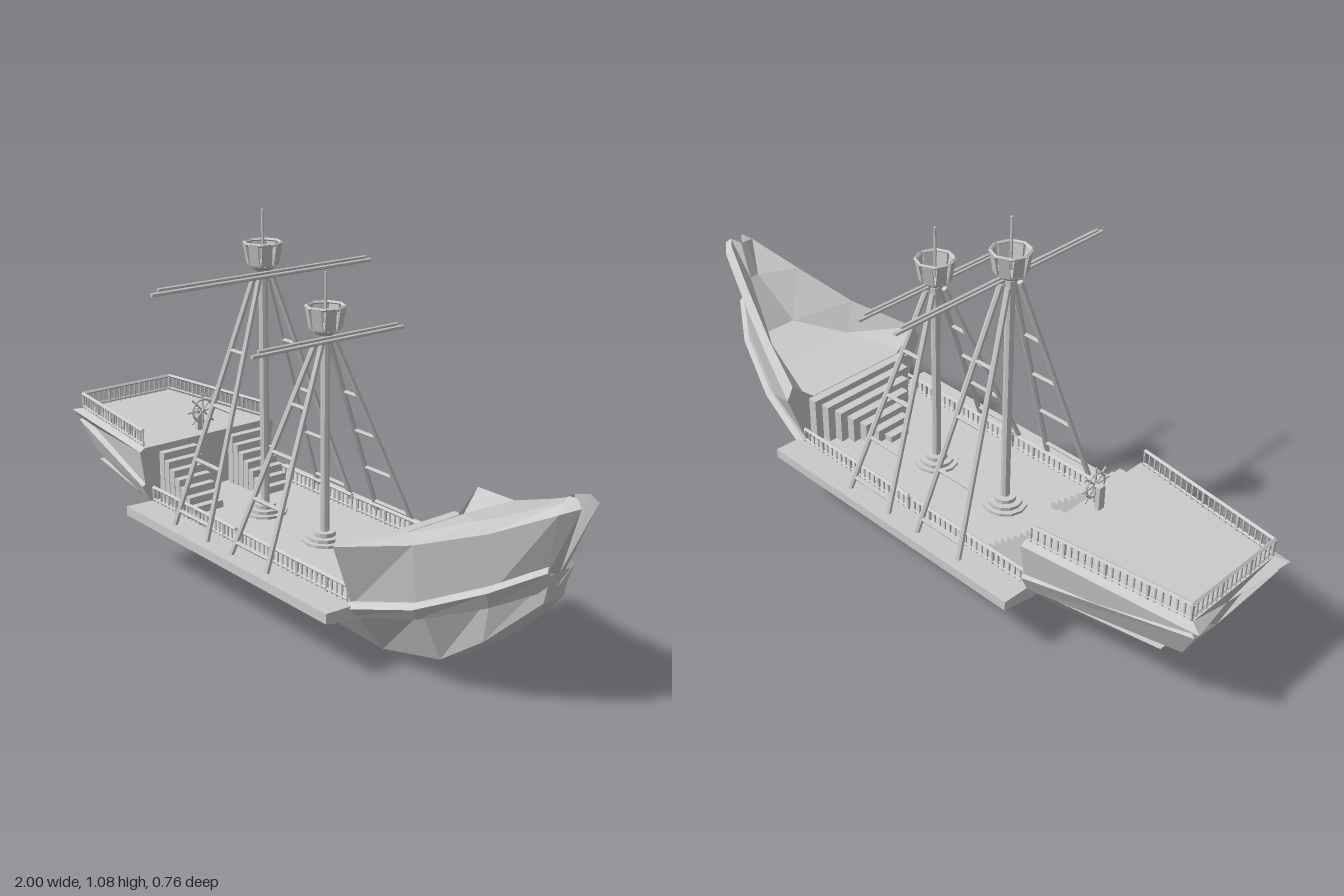
import * as THREE from 'three';

const mat = new THREE.MeshStandardMaterial({ color: 0xcccccc, flatShading: true, side: THREE.DoubleSide });

function add(parent, name, geo, x = 0, y = 0, z = 0) {
  const m = new THREE.Mesh(geo, mat);
  m.name = name;
  m.position.set(x, y, z);
  parent.add(m);
  return m;
}

function group(parent, name, x = 0, y = 0, z = 0) {
  const g = new THREE.Group();
  g.name = name;
  g.position.set(x, y, z);
  parent.add(g);
  return g;
}

// Skin over mirrored half sections, each listed from the keel outward and up
function loft(parent, name, halves) {
  const rings = halves.map(h => [...h, ...h.filter(p => p[2] > 0).reverse().map(p => [p[0], p[1], -p[2]])]);
  const n = rings[0].length, idx = [];
  for (let i = 0; i < rings.length - 1; i++)
    for (let j = 0; j < n; j++) {
      const a = i * n + j, b = i * n + (j + 1) % n, c = b + n, d = a + n;
      idx.push(a, c, b, a, d, c);
    }
  const end = (rings.length - 1) * n;
  for (let k = 1; k < n - 1; k++) idx.push(0, k, k + 1, end, end + k + 1, end + k);
  const geo = new THREE.BufferGeometry();
  geo.setAttribute('position', new THREE.Float32BufferAttribute(rings.flat(2), 3));
  geo.setIndex(idx);
  geo.computeVertexNormals();
  return add(parent, name, geo);
}

// Round bar between two points
function bar(parent, name, p, q, r, sides = 6) {
  const a = new THREE.Vector3(...p), b = new THREE.Vector3(...q);
  const d = b.clone().sub(a);
  const m = add(parent, name, new THREE.CylinderGeometry(r, r, d.length(), sides));
  m.position.copy(a).add(b).multiplyScalar(0.5);
  m.quaternion.setFromUnitVectors(new THREE.Vector3(0, 1, 0), d.normalize());
  return m;
}

// Railing with two rails and turned balusters
function railing(parent, p, q, h) {
  const g = group(parent, 'railing');
  const up = (v, t) => [v[0], v[1] + t, v[2]];
  bar(g, 'topRail', up(p, h), up(q, h), 0.006, 4);
  bar(g, 'lowerRail', up(p, 0.008), up(q, 0.008), 0.004, 4);
  const n = Math.round(Math.hypot(q[0] - p[0], q[2] - p[2]) / 0.02);
  for (let i = 0; i <= n; i++) {
    const v = p.map((c, k) => c + (q[k] - c) * i / n);
    const wide = i % 6 === 0 ? 0.006 : 0.0035;
    add(g, 'baluster', new THREE.CylinderGeometry(wide, wide * 0.7, h, 5), v[0], v[1] + h / 2, v[2]);
  }
}

// Mast with collar, shrouds, ratlines, yard and lookout basket
function mast(parent, name, x, top, yardHalf) {
  const g = group(parent, name, x, 0, 0);
  const deck = 0.19;
  bar(g, 'pole', [0, deck, 0], [0, top, 0], 0.013, 8);
  [[0.065, 0.008], [0.05, 0.018], [0.032, 0.03]].forEach(([r, h]) =>
    add(g, 'collar', new THREE.CylinderGeometry(r, r, h, 12), 0, deck + h / 2, 0));

  for (const s of [-1, 1]) {
    const foot = k => [k * 0.08, deck, s * 0.265], head = k => [k * 0.013, top - 0.01, s * 0.022];
    const at = (k, t) => foot(k).map((c, i) => c + (head(k)[i] - c) * t);
    for (const k of [-1, 1]) bar(g, 'shroud', foot(k), head(k), 0.0085);
    for (const t of [0.06, 0.27, 0.49, 0.71]) bar(g, 'ratline', at(-1, t), at(1, t), 0.006);
  }

  bar(g, 'yard', [0.02, top - 0.008, -yardHalf], [0.02, top - 0.008, yardHalf], 0.006);
  bar(g, 'upperYard', [0.02, top + 0.003, -yardHalf + 0.02], [0.02, top + 0.003, yardHalf - 0.02], 0.005);

  const nest = group(g, 'lookout', 0, top + 0.01, 0);
  add(nest, 'bracket', new THREE.CylinderGeometry(0.04, 0.02, 0.015, 8), 0, 0.003, 0);
  add(nest, 'floor', new THREE.CylinderGeometry(0.044, 0.04, 0.008, 8), 0, 0.015, 0);
  const rim = add(nest, 'rim', new THREE.TorusGeometry(0.053, 0.005, 4, 8), 0, 0.074, 0);
  rim.rotation.x = Math.PI / 2;
  for (let i = 0; i < 8; i++) {
    const spoke = group(nest, 'side');
    spoke.rotation.y = (i + 0.5) * Math.PI / 4;
    add(spoke, 'panel', new THREE.BoxGeometry(0.005, 0.062, 0.03), 0.046, 0.046, 0).rotation.z = -0.17;
  }
  bar(nest, 'finial', [0, 0, 0], [0, 0.168, 0], 0.004);
}

export function createModel() {
  const ship = new THREE.Group();
  ship.name = 'sailingShip';

  // Lower hull: keel, chine, top edge, centre line
  loft(ship, 'hull', [
    [[-0.82, 0.1, 0], [-0.83, 0.115, 0.08], [-0.88, 0.205, 0.16], [-0.88, 0.205, 0]],
    [[-0.49, 0.03, 0], [-0.49, 0.055, 0.1], [-0.49, 0.185, 0.21], [-0.49, 0.19, 0]],
    [[0.43, 0.005, 0], [0.43, 0.03, 0.1], [0.43, 0.18, 0.21], [0.43, 0.19, 0]],
    [[0.62, 0.058, 0], [0.64, 0.085, 0.1], [0.64, 0.235, 0.165], [0.64, 0.24, 0]],
    [[0.76, 0.158, 0], [0.77, 0.18, 0.088], [0.8, 0.315, 0.1], [0.8, 0.32, 0]],
    [[0.905, 0.31, 0], [0.905, 0.315, 0.035], [0.92, 0.39, 0.033], [0.92, 0.395, 0]],
  ]);

  // Bow wale
  const wale = (x, y, z, t) => [[x, y, 0], [x, y, z - 0.008], [x + 0.008, y + t, z + 0.012], [x, y + t + 0.012, z], [x, y + t + 0.012, 0]];
  loft(ship, 'bowWale', [
    wale(0.42, 0.15, 0.215, 0.03), wale(0.62, 0.205, 0.175, 0.035),
    wale(0.8, 0.285, 0.112, 0.045), wale(0.915, 0.35, 0.035, 0.05),
  ]);

  // Forecastle: bottom, flared side, rim ridge, inner deck
  loft(ship, 'forecastle', [
    [[0.42, 0.18, 0], [0.42, 0.18, 0.2], [0.42, 0.355, 0.262], [0.42, 0.395, 0.24], [0.42, 0.33, 0.19], [0.42, 0.33, 0]],
    [[0.62, 0.23, 0], [0.62, 0.24, 0.165], [0.62, 0.405, 0.185], [0.62, 0.435, 0.165], [0.62, 0.33, 0.14], [0.62, 0.33, 0]],
    [[0.8, 0.3, 0], [0.8, 0.32, 0.1], [0.8, 0.475, 0.118], [0.8, 0.51, 0.098], [0.78, 0.345, 0.05], [0.78, 0.345, 0]],
    [[0.91, 0.38, 0], [0.91, 0.39, 0.032], [0.955, 0.555, 0.06], [0.95, 0.578, 0.04], [0.9, 0.48, 0.015], [0.9, 0.48, 0]],
    [[0.92, 0.39, 0], [0.92, 0.39, 0.015], [0.995, 0.575, 0.03], [0.975, 0.592, 0.022], [0.94, 0.585, 0.01], [0.94, 0.585, 0]],
  ]);

  // Stern wale and sterncastle
  loft(ship, 'sternWale', [
    [[-0.93, 0.215, 0], [-0.93, 0.215, 0.14], [-0.98, 0.315, 0.172], [-0.95, 0.33, 0.16], [-0.95, 0.33, 0]],
    [[-0.49, 0.185, 0], [-0.49, 0.185, 0.215], [-0.49, 0.24, 0.242], [-0.49, 0.25, 0.23], [-0.49, 0.25, 0]],
  ]);
  loft(ship, 'sterncastle', [
    [[-0.95, 0.3, 0], [-0.95, 0.31, 0.16], [-1, 0.348, 0.186], [-0.965, 0.357, 0.165], [-0.965, 0.357, 0]],
    [[-0.49, 0.2, 0], [-0.49, 0.22, 0.228], [-0.49, 0.35, 0.247], [-0.49, 0.36, 0.23], [-0.49, 0.36, 0]],
  ]);

  // Main deck with overhanging side ledges
  loft(ship, 'mainDeck', [-0.49, 0.44].map(x =>
    [[x, 0.145, 0], [x, 0.145, 0.2], [x, 0.165, 0.3], [x, 0.193, 0.3], [x, 0.19, 0.21], [x, 0.19, 0]]));

  // Railings on both sides and across the stern
  for (const s of [-1, 1]) {
    railing(ship, [-0.48, 0.19, s * 0.21], [-0.06, 0.19, s * 0.21], 0.045);
    railing(ship, [-0.035, 0.19, s * 0.21], [0.415, 0.19, s * 0.21], 0.045);
    railing(ship, [-0.96, 0.357, s * 0.165], [-0.505, 0.36, s * 0.225], 0.05);
  }
  railing(ship, [-0.96, 0.357, -0.165], [-0.96, 0.357, 0.165], 0.05);

  // Twin stairs to the stern, one wide stair to the bow
  for (let i = 0; i < 7; i++) {
    const h = 0.022 * (i + 1);
    for (const s of [-1, 1])
      add(ship, 'sternStep', new THREE.BoxGeometry(0.024, h, 0.1 + 0.004 * i), -0.325 - 0.0235 * i, 0.19 + h / 2, s * 0.125);
    const f = 0.02 * (i + 1);
    add(ship, 'bowStep', new THREE.BoxGeometry(0.028, f, 0.07 + 0.05 * i), 0.242 + 0.027 * i, 0.19 + f / 2, 0);
  }

  // Steering wheel on its stand
  const wheel = group(ship, 'steeringWheel', -0.52, 0.425, 0);
  add(wheel, 'wheelRim', new THREE.TorusGeometry(0.036, 0.004, 5, 16)).rotation.y = Math.PI / 2;
  for (let i = 0; i < 4; i++) {
    const a = i * Math.PI / 4, y = 0.055 * Math.cos(a), z = 0.055 * Math.sin(a);
    bar(wheel, 'spoke', [0, -y, -z], [0, y, z], 0.003, 5);
  }
  bar(wheel, 'axle', [-0.025, 0, 0], [0.008, 0, 0], 0.007);
  add(wheel, 'stand', new THREE.BoxGeometry(0.014, 0.075, 0.022), -0.018, -0.032, 0);

  mast(ship, 'mainMast', -0.205, 0.905, 0.38);
  mast(ship, 'foreMast', 0.07, 0.775, 0.26);
  return ship;
}
